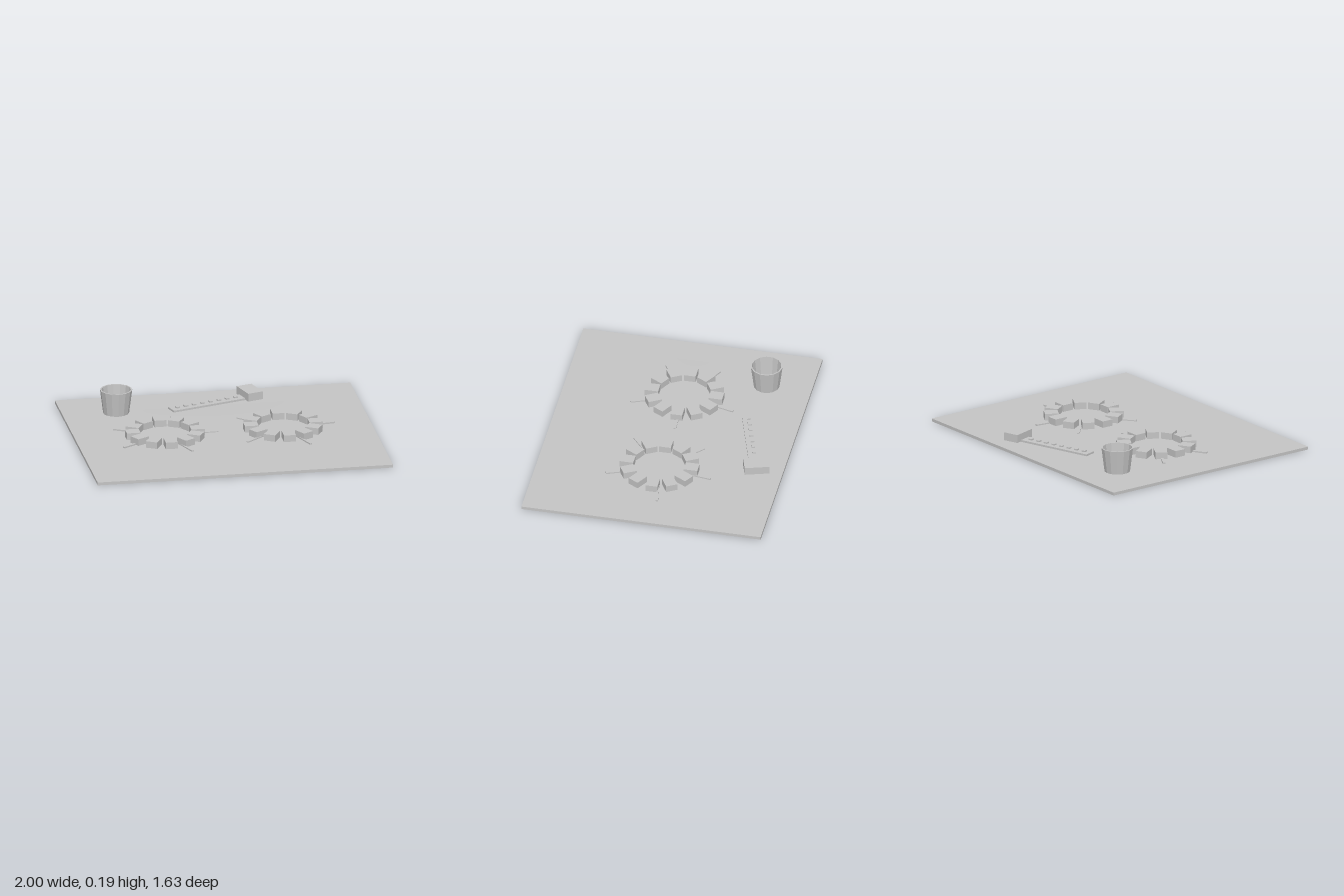
import * as THREE from 'three';

export function createModel() {
  const root = new THREE.Group();
  const grey = new THREE.MeshStandardMaterial({ color: 0xc4c4c4 });
  grey.name = 'plain grey';
  const facetGrey = grey;

  const add = (parent, name, geometry, x, y, z, turn = 0) => {
    const mesh = new THREE.Mesh(geometry, facetGrey);
    mesh.name = name;
    mesh.position.set(x, y, z);
    mesh.rotation.y = turn;
    parent.add(mesh);
    return mesh;
  };
  const box = (w, h, d) => new THREE.BoxGeometry(w, h, d);

  // Ground slab
  add(root, 'groundSlab', box(2, 0.02, 1.63), 0, 0.01, 0);

  // Very shallow domed mat lying on the slab
  const mat = new THREE.PlaneGeometry(1.62, 1.08, 24, 16).rotateX(-Math.PI / 2);
  const p = mat.attributes.position;
  for (let i = 0; i < p.count; i++) {
    const u = p.getX(i) / 0.81, v = p.getZ(i) / 0.54;
    p.setY(i, 0.005 * (1 - u * u) * (1 - v * v));
  }
  mat.computeVertexNormals();
  add(root, 'mat', mat, 0, 0.0208, 0);

  // Two rings of stones with loose sticks poking outward
  const stone = box(0.093, 0.046, 0.08);
  const stick = box(0.165, 0.012, 0.017);
  const rings = [
    { x: -0.4, sticks: [1.6, 75, 151, 211, 291] },
    { x: 0.4, sticks: [9, 82, 137, 219, 291] },
  ];
  for (const { x, sticks } of rings) {
    const ring = new THREE.Group();
    ring.name = 'stoneRing';
    ring.position.x = x;
    root.add(ring);
    for (let i = 0; i < 12; i++) {
      const a = (i * Math.PI) / 6;
      add(ring, 'stone', stone, 0.218 * Math.cos(a), 0.047, -0.218 * Math.sin(a), a);
    }
    for (const degrees of sticks) {
      const a = THREE.MathUtils.degToRad(degrees);
      add(ring, 'stick', stick, 0.28 * Math.cos(a), 0.026, -0.28 * Math.sin(a), a);
    }
  }

  // Open faceted bucket with a thin wall and floor
  const profile = [[0, 0], [0.087, 0], [0.108, 0.164], [0.099, 0.164], [0.082, 0.008], [0, 0.008]];
  const bucket = new THREE.LatheGeometry(profile.map(([r, y]) => new THREE.Vector2(r, y)), 14)
    .toNonIndexed();
  bucket.computeVertexNormals();
  add(root, 'bucket', bucket, -0.64, 0.021, -0.51);

  // Studded bar with a block head
  const bar = new THREE.Group();
  bar.name = 'studdedBar';
  bar.position.set(-0.022, 0, -0.54);
  bar.rotation.y = THREE.MathUtils.degToRad(17.2);
  root.add(bar);
  add(bar, 'handle', box(0.535, 0.013, 0.087), 0, 0.035, 0);
  add(bar, 'head', box(0.109, 0.055, 0.168), 0.324, 0.058, 0);
  for (let i = 0; i < 8; i++) {
    add(bar, 'stud', box(0.025, 0.01, 0.025), -0.218 + i * 0.062, 0.046, 0);
  }
  return root;
}
